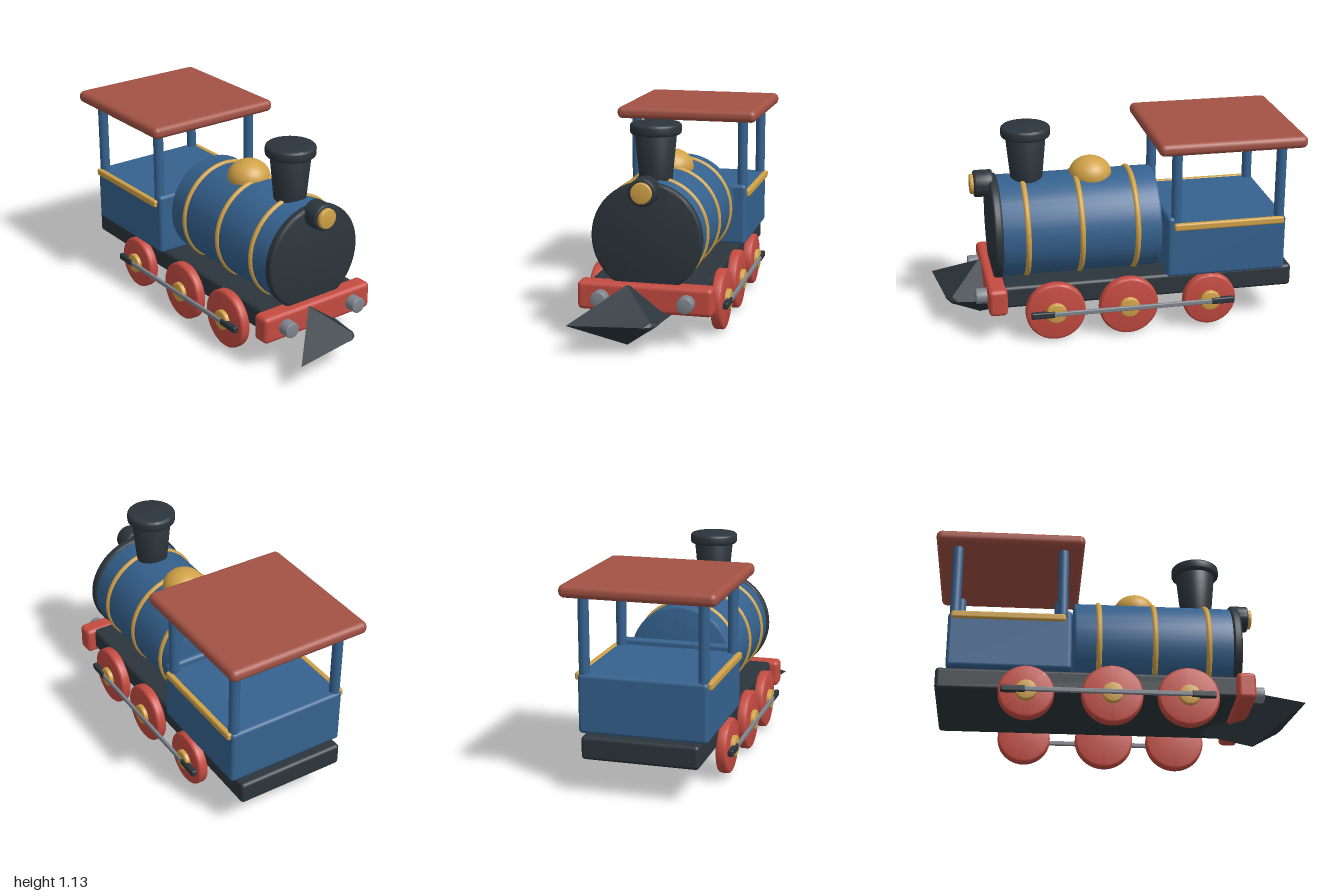
import * as THREE from 'three';
import { toCreasedNormals } from 'three/addons/utils/BufferGeometryUtils.js';
import { RoundedBoxGeometry } from 'three/addons/geometries/RoundedBoxGeometry.js';

const material = (name, color) => {
  const m = new THREE.MeshStandardMaterial({ color });
  m.name = name;
  return m;
};

export function createModel() {
  const model = new THREE.Group();
  model.name = 'steamLocomotive';
  const blue = material('blue', 0x35628f);
  const black = material('charcoal', 0x2c353c);
  const gold = material('gold', 0xd0a147);
  const red = material('red', 0xc44b41);
  const roofRed = material('roofRed', 0xa35244);
  const grey = material('grey', 0x7f858e);

  const add = (name, geometry, mat, x, y, z) => {
    const mesh = new THREE.Mesh(geometry, mat);
    mesh.name = name;
    mesh.position.set(x, y, z);
    model.add(mesh);
    return mesh;
  };

  // Rounded box given by its size and centre
  const box = (name, mat, w, h, d, x, y, z, r = 0.02) =>
    add(name, new RoundedBoxGeometry(w, h, d, 3, r), mat, x, y, z);

  // Cylinder or cone with softened rims, centred on its axis
  const drum = (r0, r1, h, bevel = 0.008, axis = 'y') => {
    const pts = [new THREE.Vector2(0, -h / 2)];
    for (const [r, side] of [[r0, -1], [r1, 1]]) {
      for (let i = 0; i <= 3; i++) {
        const a = (side < 0 ? i - 3 : i) * Math.PI / 6;
        pts.push(new THREE.Vector2(
          r - bevel + bevel * Math.cos(a),
          side * (h / 2 - bevel) + bevel * Math.sin(a)));
      }
    }
    pts.push(new THREE.Vector2(0, h / 2));
    const g = new THREE.LatheGeometry(pts, 48);
    if (axis === 'z') g.rotateX(Math.PI / 2);
    if (axis === 'x') g.rotateZ(-Math.PI / 2);
    return toCreasedNormals(g, 0.6);
  };

  // Chassis and front beam
  box('chassis', black, 0.62, 0.125, 1.625, 0, 0.258, -0.153);
  box('bufferBeam', red, 0.72, 0.152, 0.103, 0, 0.249, 0.686, 0.025);
  for (const s of [-1, 1]) {
    add('buffer', drum(0.043, 0.043, 0.09, 0.006, 'z'), grey, s * 0.228, 0.247, 0.753);
  }

  // Cowcatcher: four-sided blunt cone, turned a quarter from the front
  const profile = [[0, 0], [0.354, 0], [0.075, 0.21], [0.045, 0.236], [0, 0.246]]
    .map(([x, y]) => new THREE.Vector2(x, y));
  const plough = new THREE.LatheGeometry(profile, 4);
  plough.rotateX(Math.PI / 2).scale(1, 0.455, 1).rotateY(Math.PI / 4);
  add('cowcatcher', toCreasedNormals(plough, 0.2), black, -0.085, 0.165, 0.75);

  // Boiler with smokebox door and bands
  add('boiler', drum(0.283, 0.283, 0.89, 0.012, 'z'), blue, 0, 0.56, 0.215);
  add('smokeboxDoor', drum(0.295, 0.295, 0.05, 0.015, 'z'), black, 0, 0.56, 0.663);
  for (const z of [0.505, 0.21, -0.095]) {
    add('boilerBand', new THREE.TorusGeometry(0.279, 0.016, 10, 64), gold, 0, 0.56, z);
  }

  // Steam dome, chimney and headlamp
  add('steamDome', new THREE.SphereGeometry(0.118, 32, 20).scale(1, 0.83, 1), gold, 0, 0.833, 0.12);
  add('chimney', drum(0.083, 0.11, 0.3, 0.008), black, 0, 0.93, 0.475);
  add('chimneyCap', drum(0.135, 0.135, 0.06, 0.016), black, 0, 1.1, 0.475);
  add('headlamp', drum(0.074, 0.074, 0.105, 0.012, 'z'), black, 0, 0.815, 0.715);
  add('headlampLens', drum(0.055, 0.055, 0.04, 0.006, 'z'), gold, 0, 0.815, 0.768);

  // Cab
  box('cabBody', blue, 0.684, 0.315, 0.66, 0, 0.473, -0.582);
  box('cabFrontWall', blue, 0.684, 0.35, 0.045, 0, 0.49, -0.269);
  box('cabRoof', roofRed, 0.81, 0.068, 0.815, 0, 1.069, -0.59, 0.03);
  for (const s of [-1, 1]) {
    box('cabRail', gold, 0.03, 0.04, 0.615, s * 0.345, 0.613, -0.588, 0.01);
    for (const z of [-0.297, -0.877]) {
      add('cabPost', new THREE.CylinderGeometry(0.028, 0.028, 0.44, 24), blue, s * 0.313, 0.83, z);
    }
  }

  // Wheels, hubs and coupling rods on both sides
  for (const s of [-1, 1]) {
    for (const [z, r] of [[0.375, 0.164], [-0.03, 0.164], [-0.485, 0.148]]) {
      add('wheel', drum(r, r, 0.058, 0.014, 'x'), red, s * 0.334, 0.174, z);
      add('wheelHub', drum(0.056, 0.056, 0.067, 0.006, 'x'), gold, s * 0.353, 0.174, z);
    }
    box('couplingRod', grey, 0.018, 0.026, 1.0, s * 0.387, 0.174, -0.053, 0.006);
    for (const z of [0.45, -0.553]) {
      box('rodEnd', black, 0.03, 0.036, 0.13, s * 0.383, 0.174, z, 0.008);
    }
  }

  return model;
}
